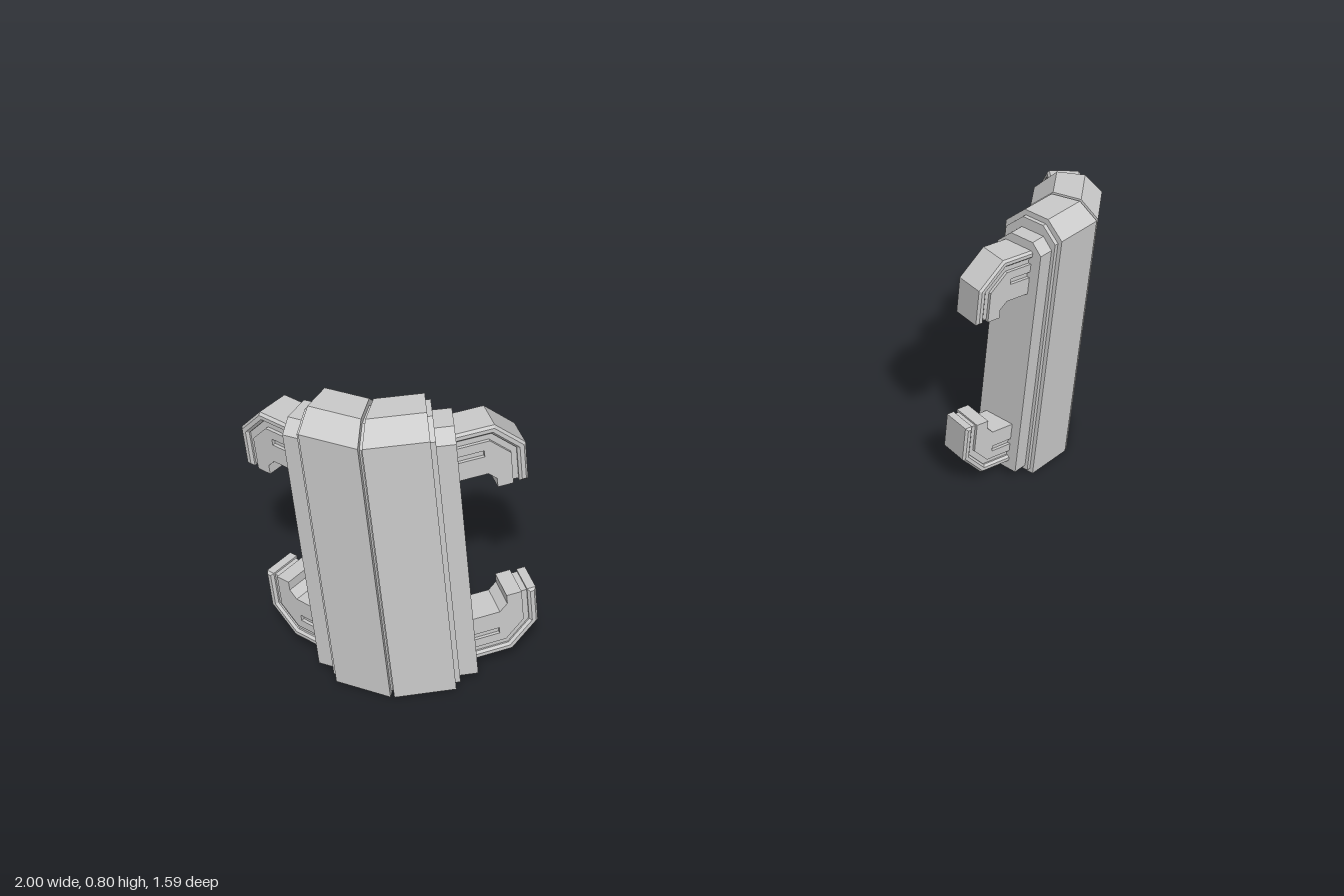
import * as THREE from 'three';

const material = new THREE.MeshStandardMaterial({ color: 0xcccccc, flatShading: true });
const MID_Y = 0.388;            // height about which the claws mirror
const PANEL_BEND = 0.28;        // how far each half of the shield folds back
const ARM_BEND = 0.5;

const shapeOf = (points) => new THREE.Shape(points.map(([x, y]) => new THREE.Vector2(x, y)));

// Half of a folded shell: a (depth, height) profile swept along the fold direction.
// The inner end is mitred so the two halves meet at the centre.
function panel(name, profile, side, start, end, mitred) {
  const geo = new THREE.ExtrudeGeometry(shapeOf(profile), { depth: 1, bevelEnabled: false });
  const p = geo.attributes.position;
  const c = Math.cos(PANEL_BEND), s = Math.sin(PANEL_BEND);
  for (let i = 0; i < p.count; i++) {
    const d = p.getX(i);
    const t = side > 0 ? 1 - p.getZ(i) : p.getZ(i);
    const from = mitred ? start - d * s / c : start;
    const along = from + (end - from) * t;
    p.setXYZ(i, side * (along * c + d * s), p.getY(i), -along * s + d * c);
  }
  geo.computeVertexNormals();
  const mesh = new THREE.Mesh(geo, material);
  mesh.name = name;
  return mesh;
}

// Shell outlines as (depth, height)
const bodyProfile = [[0, 0], [0, 0.755], [-0.05, 0.8], [-0.125, 0.8], [-0.18, 0.745], [-0.18, 0.02], [-0.165, 0]].reverse();
const coreProfile = [[-0.011, 0.012], [-0.011, 0.745], [-0.055, 0.785], [-0.12, 0.785], [-0.17, 0.735], [-0.17, 0.012]].reverse();
const collarProfile = [[-0.02, 0.025], [-0.02, 0.725], [-0.05, 0.755], [-0.12, 0.755], [-0.16, 0.715], [-0.16, 0.045], [-0.14, 0.025]].reverse();

// Claw outlines as (distance outwards, height)
const clawCore = [[-0.03, 0.605], [0.062, 0.605], [0.085, 0.582], [0.085, 0.56], [0.15, 0.56], [0.15, 0.658], [0.083, 0.725], [-0.03, 0.725]];
const clawRim = [[-0.03, 0.708], [0.076, 0.708], [0.133, 0.651], [0.133, 0.555], [0.155, 0.555], [0.155, 0.66], [0.085, 0.73], [-0.03, 0.73]];
const clawInner = [[-0.03, 0.6], [0.06, 0.6], [0.08, 0.58], [0.08, 0.555], [0.118, 0.555], [0.118, 0.643],
  [0.07, 0.691], [-0.03, 0.691], [-0.03, 0.667], [0.055, 0.667], [0.055, 0.65], [-0.03, 0.65]];

function clawPart(name, outline, width, bevel) {
  const geo = new THREE.ExtrudeGeometry(shapeOf(outline.map(([x, y]) => [x, y - MID_Y])), {
    depth: width - 2 * bevel, bevelEnabled: bevel > 0, bevelSegments: 1,
    bevelThickness: bevel, bevelSize: bevel, bevelOffset: -bevel,
  });
  geo.translate(0, 0, bevel - width / 2);
  const mesh = new THREE.Mesh(geo, material);
  mesh.name = name;
  return mesh;
}

// Hooked claw: grooved sides between a raised rim and an inner block
function claw(name) {
  const g = new THREE.Group();
  g.name = name;
  g.add(clawPart('clawCore', clawCore, 0.072, 0));
  g.add(clawPart('clawRim', clawRim, 0.092, 0.006));
  g.add(clawPart('clawInnerBlock', clawInner, 0.088, 0));
  return g;
}

function unit(name) {
  const g = new THREE.Group();
  g.name = name;
  for (const side of [-1, 1]) {
    const label = side > 0 ? 'left' : 'right';
    g.add(panel(label + 'Shell', bodyProfile, side, 0.005, 0.155, true));
    g.add(panel(label + 'Core', coreProfile, side, 0, 0.167, true));
    g.add(panel(label + 'Collar', collarProfile, side, 0.15, 0.212, false));

    // Upper and lower claws reaching out from the collar
    const arm = new THREE.Group();
    arm.name = label + 'Arm';
    arm.position.set(side * 0.177, MID_Y, -0.147);
    arm.rotation.y = side > 0 ? ARM_BEND : Math.PI - ARM_BEND;
    const upper = claw('upperClaw');
    const lower = claw('lowerClaw');
    lower.rotation.x = Math.PI;
    arm.add(upper, lower);
    g.add(arm);
  }
  return g;
}

export function createModel() {
  const model = new THREE.Group();
  model.name = 'clawedGuards';
  const front = unit('frontGuard');
  front.position.set(-0.658, 0, 0.795);
  front.rotation.y = 0.04;
  const back = unit('backGuard');
  back.position.set(0.984, 0, -0.42);
  back.rotation.y = 1.185;
  model.add(front, back);
  return model;
}
